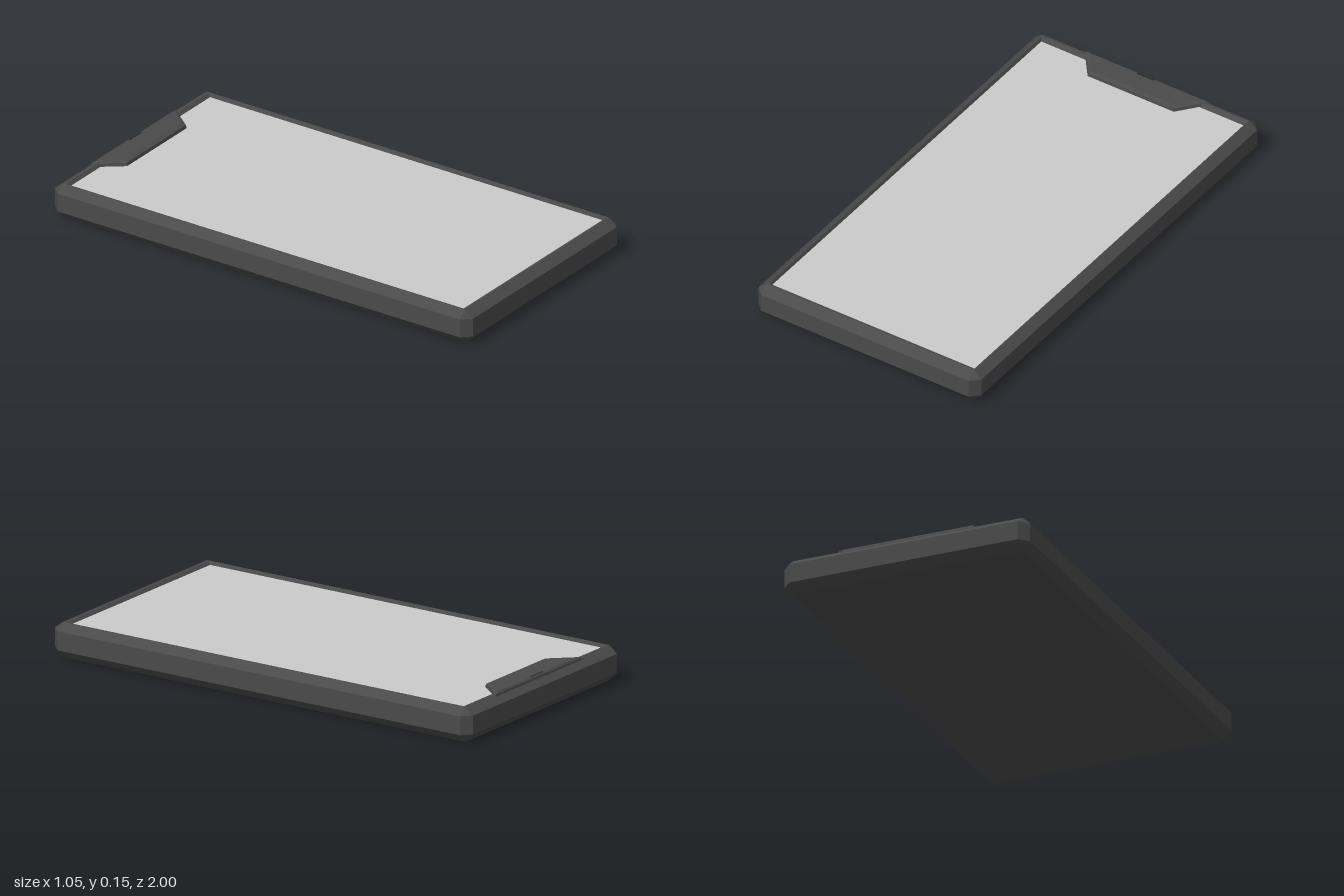
import * as THREE from 'three';

const dark = new THREE.MeshStandardMaterial({ color: 0x4a4a4a, flatShading: true });
const grey = new THREE.MeshStandardMaterial({ color: 0xcccccc, flatShading: true });
const black = new THREE.MeshStandardMaterial({ color: 0x1c1c1c, flatShading: true });

// Rectangle ring with cut corners, counterclockwise seen from above
function ring(y, x, z, c = 0) {
  return [[x, z - c], [x, c - z], [x - c, -z], [c - x, -z], [-x, c - z], [-x, z - c], [c - x, z], [x - c, z]]
    .map(([px, pz]) => new THREE.Vector3(px, y, pz));
}

// Closed faceted solid through a stack of rings, bottom to top
function loft(rings) {
  const pos = [];
  const tri = (a, b, c) => {
    const area = new THREE.Triangle(a, b, c).getArea();
    if (area > 1e-8) for (const p of [a, b, c]) pos.push(p.x, p.y, p.z);
  };
  const n = rings[0].length;
  for (let k = 0; k + 1 < rings.length; k++) {
    const a = rings[k], b = rings[k + 1];
    for (let i = 0; i < n; i++) {
      const j = (i + 1) % n;
      tri(a[i], a[j], b[j]);
      tri(a[i], b[j], b[i]);
    }
  }
  const bottom = rings[0], top = rings[rings.length - 1];
  for (let i = 1; i + 1 < n; i++) {
    tri(bottom[0], bottom[i + 1], bottom[i]);
    tri(top[0], top[i], top[i + 1]);
  }
  const geometry = new THREE.BufferGeometry();
  geometry.setAttribute('position', new THREE.Float32BufferAttribute(pos, 3));
  geometry.computeVertexNormals();
  return geometry;
}

export function createModel() {
  const group = new THREE.Group();
  const add = (name, geometry, material) => {
    const mesh = new THREE.Mesh(geometry, material);
    mesh.name = name;
    group.add(mesh);
    return mesh;
  };

  // Chamfered case whose rim slopes inward down to the screen
  add('case', loft([
    ring(0, 0.49, 0.962),
    ring(0.037, 0.527, 1, 0.037),
    ring(0.115, 0.527, 1, 0.037),
    ring(0.145, 0.492, 0.962),
    ring(0.144, 0.486, 0.952),
    ring(0.13, 0.478, 0.938),
  ]), dark);

  // Recessed display
  add('screen', new THREE.BoxGeometry(0.956, 0.01, 1.876), grey).position.y = 0.128;

  // Raised trapezoid notch at the far end
  const notchRing = (y, back, front, zBack, zFront) =>
    [[front, zFront], [back, zBack], [-back, zBack], [-front, zFront]]
      .map(([x, z]) => new THREE.Vector3(x, y, z));
  add('notch', loft([
    notchRing(0.125, 0.3, 0.205, -0.975, -0.855),
    notchRing(0.146, 0.29, 0.202, -0.97, -0.86),
    notchRing(0.152, 0.272, 0.19, -0.964, -0.875),
  ]), dark);

  // Earpiece slit in the notch
  add('earpiece', new THREE.BoxGeometry(0.08, 0.004, 0.005), black).position.set(0, 0.1505, -0.96);

  return group;
}
